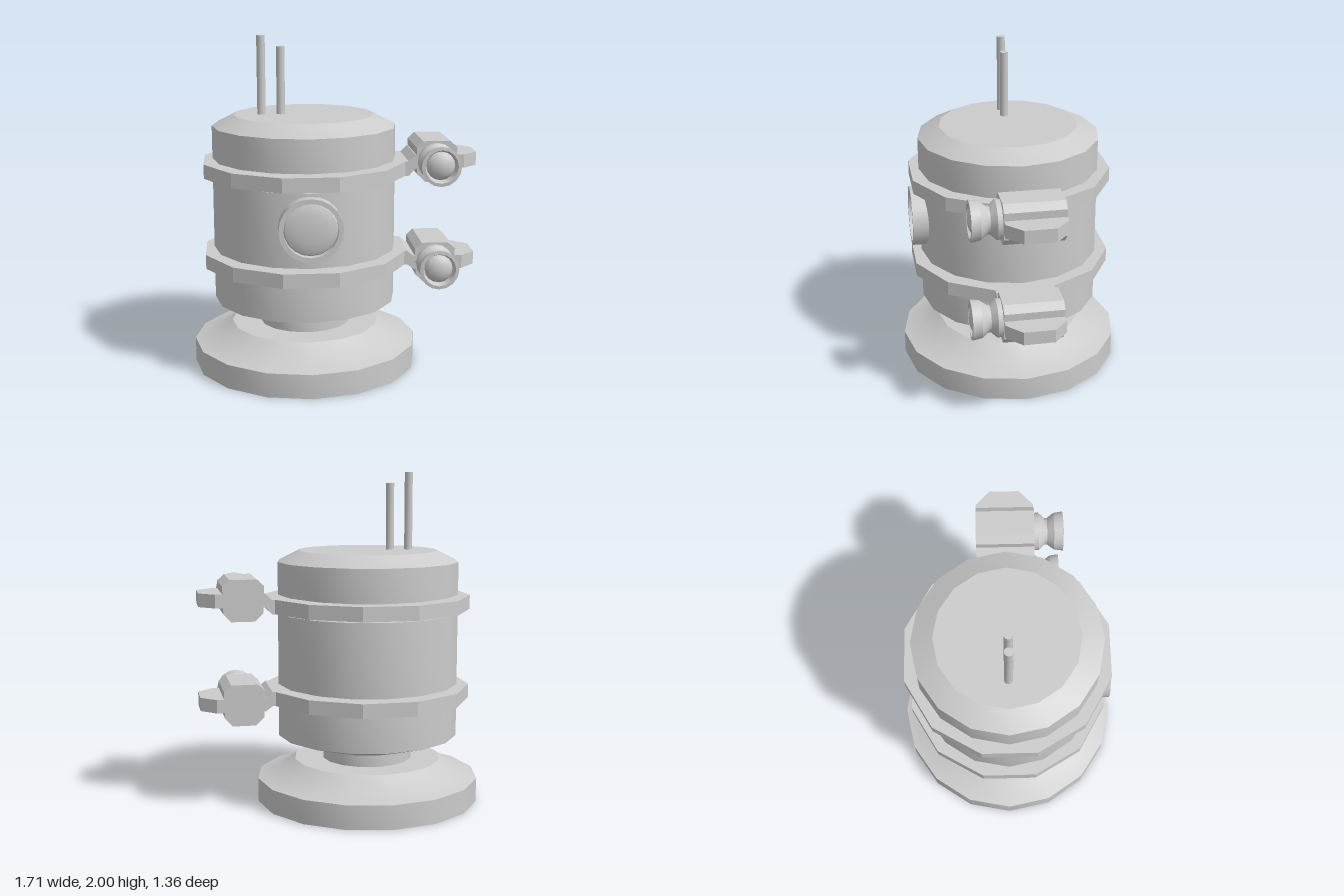
import * as THREE from 'three';
import { toCreasedNormals } from 'three/addons/utils/BufferGeometryUtils.js';

const AXIS_X = -0.18; // centre line of the canister
const material = new THREE.MeshStandardMaterial({ color: 0xcccccc });

function part(name, geometry, crease = 0.45) {
  const mesh = new THREE.Mesh(toCreasedNormals(geometry, crease), material);
  mesh.name = name;
  return mesh;
}

const vectors = (points) => points.map(([x, y]) => new THREE.Vector2(x, y));

function lathe(name, points, sides = 16, crease = 0.45) {
  return part(name, new THREE.LatheGeometry(vectors(points), sides), crease);
}

// Outline in x and y, pushed along z
function slab(name, points, z0, z1) {
  const geometry = new THREE.ExtrudeGeometry(new THREE.Shape(vectors(points)), {
    depth: z1 - z0, bevelEnabled: false,
  });
  geometry.translate(0, 0, z0);
  return part(name, geometry);
}

// Points of a shallow dome, from its rim to its tip
function dome(radius, base, height, steps = 5) {
  return Array.from({ length: steps + 1 }, (_, i) => {
    const a = (i / steps) * Math.PI / 2;
    return [i === steps ? 0 : radius * Math.cos(a), base + height * Math.sin(a)];
  });
}

// Clamp at height y, joined to a band spanning b0 to b1
function makeClamp(y, b0, b1) {
  const clamp = new THREE.Group();
  clamp.name = 'clamp';
  const t0 = y - 0.04, t1 = y + 0.04;

  clamp.add(slab('clampLink', [
    [0.38, b0], [0.43, b0], [0.47, t0], [0.52, t0],
    [0.52, t1], [0.47, t1], [0.43, b1], [0.38, b1],
  ], -0.173, 0.176));

  clamp.add(slab('clampBlock', [
    [0.53, y - 0.123], [0.67, y - 0.123], [0.713, y - 0.075], [0.718, y + 0.085],
    [0.675, y + 0.123], [0.515, y + 0.123], [0.475, y + 0.085], [0.48, y - 0.075],
  ], -0.173, 0.177));

  // Wing with clipped corners, drawn flat and laid down
  const wing = slab('clampWing', [
    [0.65, -0.176], [0.76, -0.176], [0.85, -0.09],
    [0.85, 0.09], [0.76, 0.173], [0.65, 0.173],
  ], -0.04, 0.04);
  wing.rotation.x = -Math.PI / 2;
  wing.position.y = y;
  clamp.add(wing);

  const knob = lathe('clampKnob', [
    [0, 0.16], [0.113, 0.16], [0.113, 0.205], [0.08, 0.24], [0.08, 0.255],
    [0.11, 0.295], [0.118, 0.35], [0.098, 0.352], [0.085, 0.315], ...dome(0.085, 0.31, 0.05),
  ], 16);
  knob.rotation.x = Math.PI / 2;
  knob.position.set(0.595, y, 0);
  clamp.add(knob);
  return clamp;
}

export function createModel() {
  const model = new THREE.Group();
  model.name = 'canister';

  const canister = new THREE.Group();
  canister.name = 'vessel';
  canister.position.x = AXIS_X;
  model.add(canister);

  // Hollow foot with an inner ring underneath
  canister.add(lathe('base', [
    [0, 0.19], [0.34, 0.19], [0.34, 0.08], [0.43, 0.08], [0.43, 0.19],
    [0.5, 0.13], [0.57, 0], [0.68, 0], [0.68, 0.145],
    [0.56, 0.175], [0.45, 0.255], [0, 0.255],
  ]));

  // Neck, tapered bottom, grooved wall and bevelled lid
  canister.add(lathe('body', [
    [0.275, 0.24], [0.275, 0.325], [0.55, 0.41], [0.55, 0.62],
    [0.5, 0.62], [0.5, 0.73], [0.55, 0.73], [0.55, 1.165],
    [0.5, 1.165], [0.5, 1.275], [0.55, 1.275], [0.55, 1.47],
    [0.42, 1.535], [0, 1.535],
  ]));

  // Bands and their clamps
  for (const [b0, b1, y] of [[0.632, 0.717, 0.643], [1.18, 1.265, 1.263]]) {
    const band = part('band', new THREE.CylinderGeometry(0.62, 0.62, b1 - b0, 12, 1, false, Math.PI / 12));
    band.position.y = (b0 + b1) / 2;
    canister.add(band);
    model.add(makeClamp(y, b0, b1));
  }

  // Round window on the front
  const port = lathe('port', [
    [0, 0.46], [0.183, 0.46], [0.183, 0.61], [0.155, 0.61], [0.155, 0.565],
    ...dome(0.155, 0.565, 0.03),
  ], 20);
  port.rotation.x = Math.PI / 2;
  port.position.y = 0.965;
  canister.add(port);

  // Rods on the lid
  for (const [x, top] of [[-0.433, 2], [-0.318, 1.935]]) {
    const rod = part('rod', new THREE.CylinderGeometry(0.025, 0.025, top - 1.5, 12), 0.6);
    rod.position.set(x, (top + 1.5) / 2, 0);
    model.add(rod);
  }

  return model;
}
